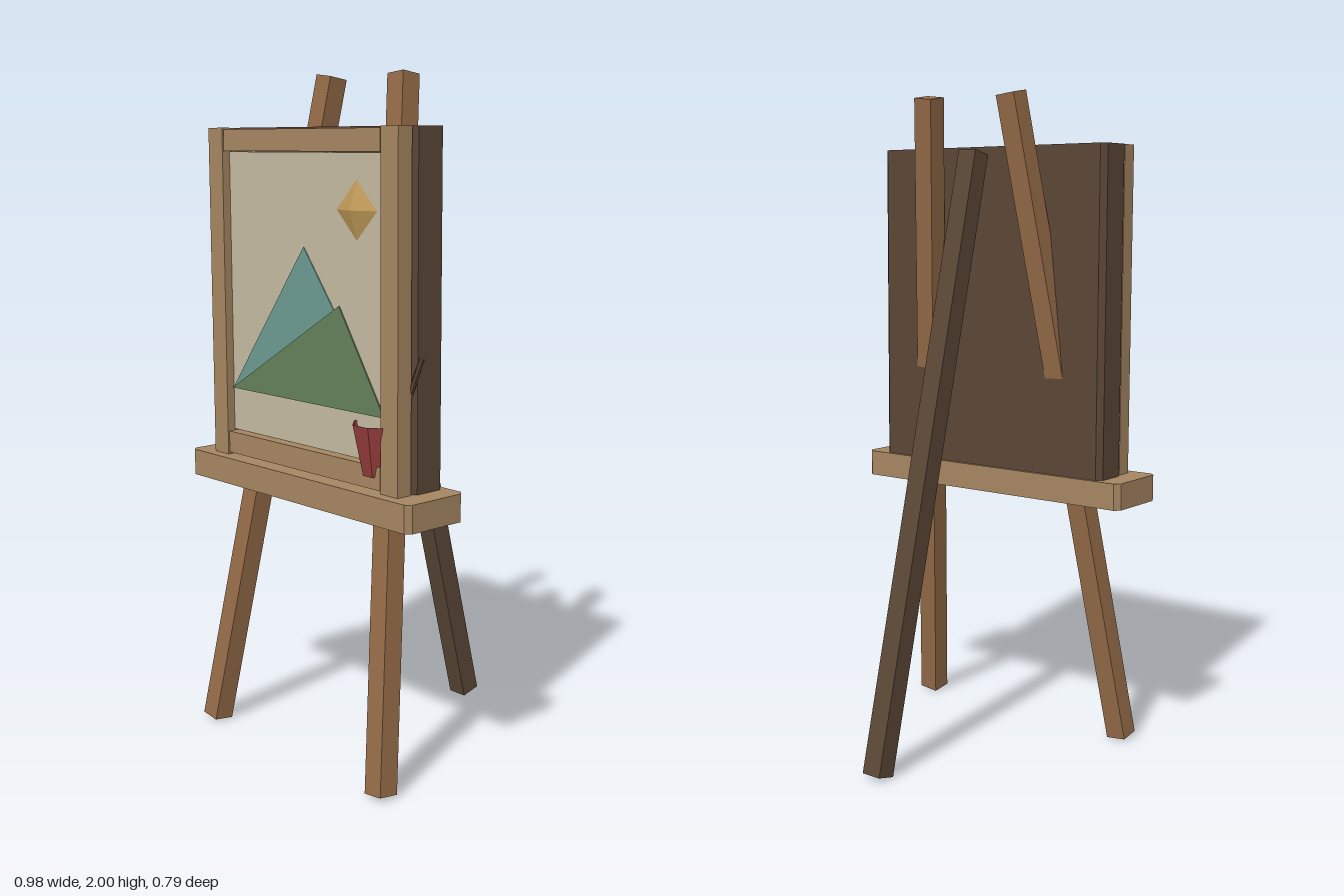
import * as THREE from 'three';

const mat = (color, extra = {}) => new THREE.MeshStandardMaterial({ color, flatShading: true, ...extra });

export function createModel() {
  const model = new THREE.Group();
  const frameWood = mat(0xa48560), legWood = mat(0x946b48), darkWood = mat(0x5a4636);

  const add = (name, geometry, material, x = 0, y = 0, z = 0) => {
    const mesh = new THREE.Mesh(geometry, material);
    mesh.name = name;
    mesh.position.set(x, y, z);
    model.add(mesh);
    return mesh;
  };

  // Straight part running between two points
  const strut = (name, makeGeometry, material, from, to) => {
    const a = new THREE.Vector3(...from), b = new THREE.Vector3(...to);
    const dir = b.clone().sub(a);
    const mesh = add(name, makeGeometry(dir.length()), material);
    mesh.position.copy(a).add(b).multiplyScalar(0.5);
    mesh.quaternion.setFromUnitVectors(new THREE.Vector3(0, 1, 0), dir.normalize());
    return mesh;
  };
  const leg = (length) => new THREE.BoxGeometry(0.064, length, 0.064);

  // Slab with its four vertical edges chamfered
  const slab = (w, h, d, c) => {
    const x = w / 2, z = d / 2;
    const outline = [[x - c, -z], [x, c - z], [x, z - c], [x - c, z], [c - x, z], [-x, z - c], [-x, c - z], [c - x, -z]];
    const shape = new THREE.Shape(outline.map(([px, pz]) => new THREE.Vector2(px, pz)));
    return new THREE.ExtrudeGeometry(shape, { depth: h, bevelEnabled: false })
      .translate(0, 0, -h / 2).rotateX(-Math.PI / 2);
  };

  // Legs
  for (const [side, s] of [['left', 1], ['right', -1]]) {
    strut(side + 'FrontLeg', leg, legWood, [s * 0.383, 0.008, 0.365], [s * 0.154, 1.992, 0.066]);
  }
  strut('rearLeg', leg, darkWood, [0, 0.009, -0.366], [0, 1.826, 0.088]);

  // Shelf and backing board
  add('shelf', slab(0.98, 0.08, 0.215, 0.016), frameWood, 0, 0.82, 0.2575);
  add('backBoard', slab(0.84, 0.985, 0.12, 0.016), darkWood, 0, 1.3525, 0.22);

  // Picture frame
  for (const [side, s] of [['left', 1], ['right', -1]]) {
    add(side + 'FrameStile', new THREE.BoxGeometry(0.067, 0.985, 0.05), frameWood, s * 0.3785, 1.3525, 0.305);
  }
  add('topFrameRail', new THREE.BoxGeometry(0.682, 0.062, 0.048), frameWood, 0, 1.809, 0.304);
  add('bottomFrameRail', new THREE.BoxGeometry(0.682, 0.066, 0.048), frameWood, 0, 0.9, 0.304);

  // Canvas and painted scene
  add('canvas', new THREE.BoxGeometry(0.684, 0.838, 0.026), mat(0xc2b8a0), 0, 1.3565, 0.293);
  const triangle = (name, points, color, z) => {
    const shape = new THREE.Shape(points.map(([x, y]) => new THREE.Vector2(x, y)));
    add(name, new THREE.ExtrudeGeometry(shape, { depth: 0.004, bevelEnabled: false }), mat(color), 0, 0, z);
  };
  triangle('farHill', [[-0.34, 1.068], [0.34, 1.068], [0, 1.512]], 0x6a9a90, 0.305);
  triangle('nearHill', [[-0.34, 1.067], [0.34, 1.067], [0.155, 1.357]], 0x64805a, 0.309);
  add('sun', new THREE.OctahedronGeometry(0.082), mat(0xc09a58), 0.225, 1.622, 0.307).scale.z = 0.31;

  // Open brush cup with a leaning brush
  const cup = new THREE.CylinderGeometry(0.08, 0.05, 0.145, 8, 1, true).rotateY(Math.PI / 8);
  add('brushCup', cup, mat(0x963c3c, { side: THREE.DoubleSide }), 0.295, 0.9725, 0.286);
  const base = new THREE.CircleGeometry(0.05, 8).rotateX(Math.PI / 2).rotateY(Math.PI / 8);
  add('brushCupBase', base, mat(0x963c3c, { side: THREE.DoubleSide }), 0.295, 0.9, 0.286);
  strut('brush', (length) => new THREE.CylinderGeometry(0.008, 0.008, length, 6), darkWood,
    [0.32, 0.92, 0.286], [0.444, 1.238, 0.272]);

  return model;
}
